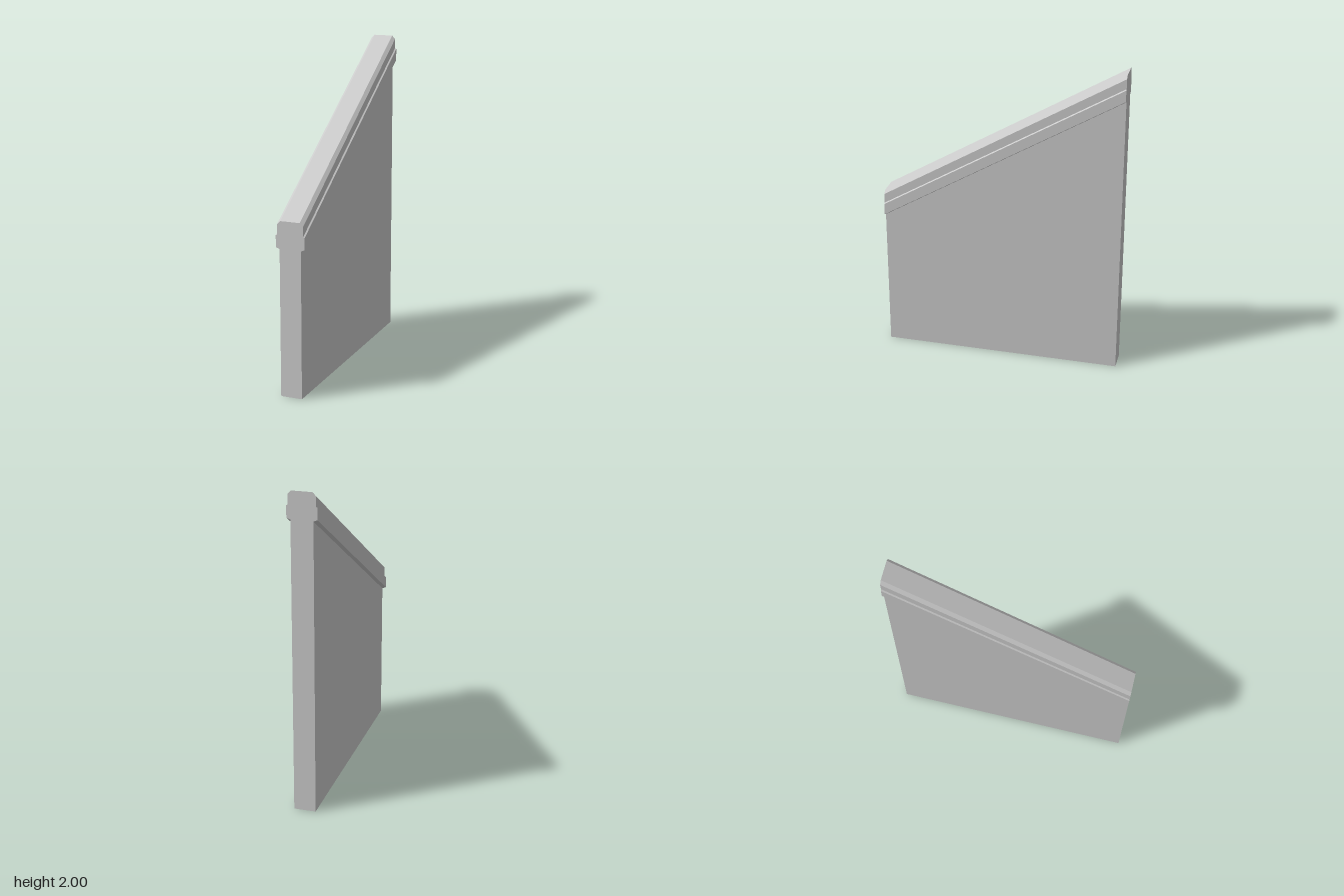
import * as THREE from 'three';

const HALF = 0.762;          // half length along z
const SLOPE = 0.912 / (2 * HALF); // rise towards the back
const WALL_TOP = 0.922;      // wall height at the front end

const material = new THREE.MeshStandardMaterial({ color: 0xcccccc, flatShading: true });

// Extrude a cross-section (x, y) along z; shift each vertex up by the given rule
function extrudeAlongZ(name, points, rise) {
  const shape = new THREE.Shape(points.map(([x, y]) => new THREE.Vector2(x, y)));
  const geometry = new THREE.ExtrudeGeometry(shape, { depth: 2 * HALF, bevelEnabled: false });
  geometry.translate(0, 0, -HALF);
  const p = geometry.attributes.position;
  for (let i = 0; i < p.count; i++) {
    p.setY(i, p.getY(i) + rise(p.getY(i), HALF - p.getZ(i)));
  }
  geometry.computeVertexNormals();
  const mesh = new THREE.Mesh(geometry, material);
  mesh.name = name;
  return mesh;
}

export function createModel() {
  const group = new THREE.Group();
  group.name = 'slopedWall';

  // Wall panel: flat base, top edge follows the slope
  const w = 0.068;
  const wall = [[-w, 0], [w, 0], [w, WALL_TOP], [-w, WALL_TOP]];
  group.add(extrudeAlongZ('wallPanel', wall, (y, d) => (y > 0 ? SLOPE * d : 0)));

  // Coping: moulded rail profile, right half mirrored to the left
  const half = [
    [0.068, 0.918], [0.092, 0.928], [0.092, 1.0],
    [0.083, 1.006], [0.083, 1.067], [0.062, 1.088],
  ];
  const profile = [...half, ...half.map(([x, y]) => [-x, y]).reverse()];
  group.add(extrudeAlongZ('coping', profile, (y, d) => SLOPE * d));

  return group;
}
